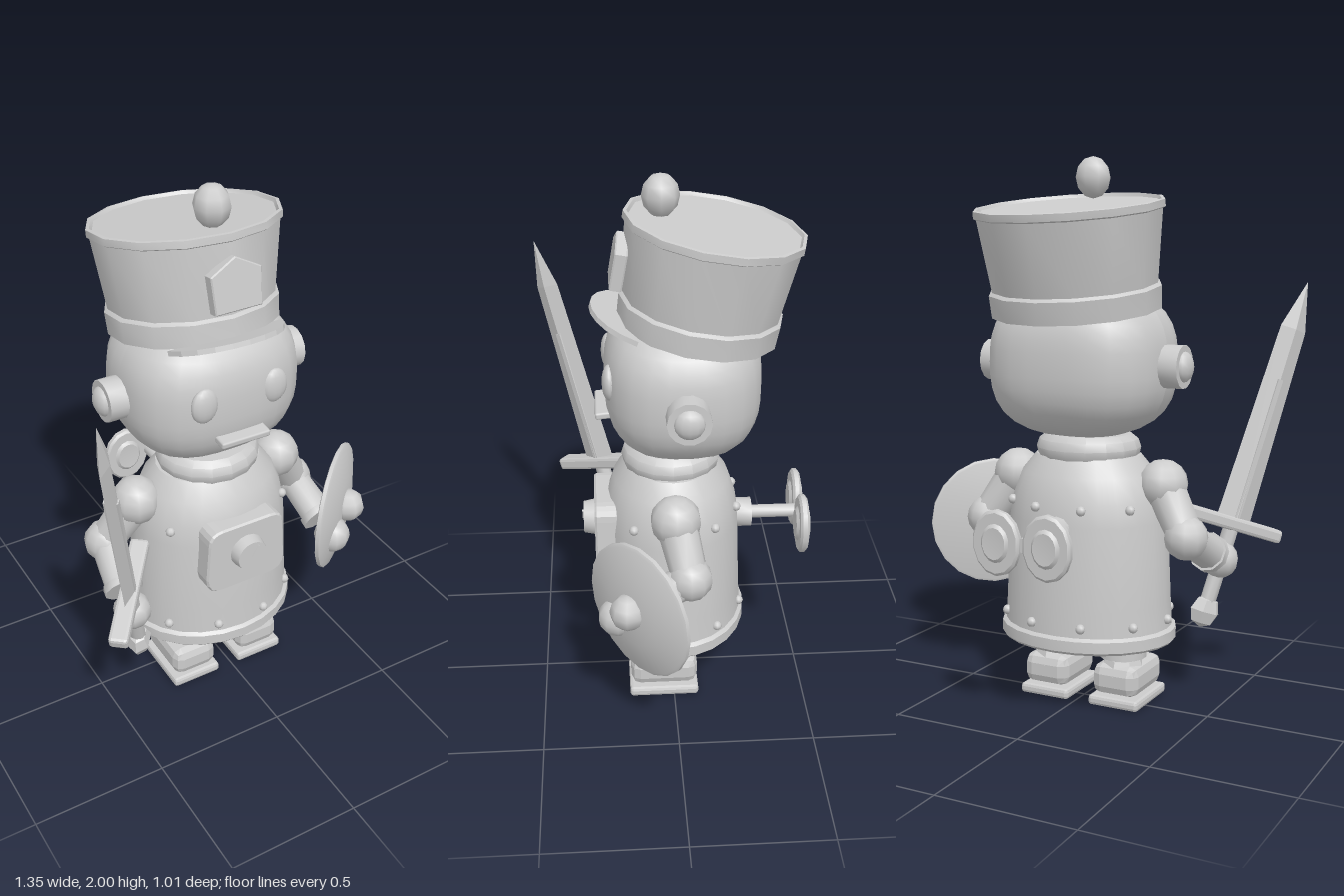
import * as THREE from 'three';
import { toCreasedNormals } from 'three/addons/utils/BufferGeometryUtils.js';
import { RoundedBoxGeometry } from 'three/addons/geometries/RoundedBoxGeometry.js';

const grey = new THREE.MeshStandardMaterial({ color: 0xcccccc });
const flat = new THREE.MeshStandardMaterial({ color: 0xcccccc, flatShading: true });
const V = (x, y, z) => new THREE.Vector3(x, y, z);

function add(parent, name, geo, pos = [0, 0, 0], mat = grey) {
  const m = new THREE.Mesh(geo, mat);
  m.name = name;
  m.position.set(...pos);
  parent.add(m);
  return m;
}
const lathe = (pts, seg) =>
  toCreasedNormals(new THREE.LatheGeometry(pts.map(p => new THREE.Vector2(...p)), seg), 0.6);
const cyl = (r1, r2, h, seg = 12) => toCreasedNormals(new THREE.CylinderGeometry(r1, r2, h, seg), 0.9);
const ball = (r, w = 10, h = 8) => new THREE.SphereGeometry(r, w, h);

// Tapered limb between two points
function limb(parent, name, a, b, ra, rb) {
  const m = add(parent, name, cyl(rb, ra, a.distanceTo(b), 10));
  m.position.copy(a).add(b).multiplyScalar(0.5);
  m.quaternion.setFromUnitVectors(V(0, 1, 0), b.clone().sub(a).normalize());
  return m;
}

function buildTorso(g) {
  const body = lathe([[0, 0.245], [0.325, 0.245], [0.335, 0.255], [0.335, 0.295], [0.32, 0.305], [0.315, 0.4],
    [0.302, 0.7], [0.288, 0.78], [0.255, 0.865], [0.2, 0.93], [0, 0.94]], 24);
  add(g, 'torso', body).scale.z = 0.84;
  add(g, 'collar', lathe([[0, 0.9], [0.17, 0.9], [0.188, 0.925], [0.195, 0.955], [0.185, 0.985], [0.16, 1.005], [0, 1.005]], 16))
    .scale.z = 0.94;
  // Two rows of rivets
  for (let i = 0; i < 10; i++) {
    const a = (18 + i * 36) * Math.PI / 180;
    add(g, 'rivet', ball(0.018, 8, 6), [Math.sin(a) * 0.32, 0.34, Math.cos(a) * 0.27]);
    add(g, 'rivet', ball(0.018, 8, 6), [Math.sin(a) * 0.295, 0.76, Math.cos(a) * 0.25]);
  }
  // Chest panel with dial
  const s = new THREE.Shape();
  s.moveTo(-0.1, -0.13).lineTo(0.1, -0.13).quadraticCurveTo(0.16, -0.13, 0.16, -0.07)
    .lineTo(0.15, 0.08).quadraticCurveTo(0.15, 0.13, 0.1, 0.13).lineTo(-0.1, 0.13)
    .quadraticCurveTo(-0.15, 0.13, -0.15, 0.08).lineTo(-0.16, -0.07).quadraticCurveTo(-0.16, -0.13, -0.1, -0.13);
  const panel = new THREE.ExtrudeGeometry(s, { depth: 0.08, bevelSize: 0.006, bevelThickness: 0.008, bevelSegments: 1, curveSegments: 4 });
  add(g, 'chestPanel', panel, [0, 0.665, 0.2]);
  add(g, 'dial', cyl(0.06, 0.07, 0.05, 16), [0, 0.68, 0.305]).rotation.x = Math.PI / 2;
  add(g, 'dialNeedle', new THREE.BoxGeometry(0.008, 0.05, 0.01), [0.012, 0.7, 0.33]).rotation.z = -0.5;
}

function buildKey(g) {
  const turn = (name, geo, pos) => { const m = add(g, name, geo, pos); m.rotation.x = Math.PI / 2; return m; };
  turn('keyCollar', cyl(0.055, 0.055, 0.06), [0, 0.68, -0.275]);
  turn('keyShaft', cyl(0.025, 0.025, 0.23), [0, 0.68, -0.375]);
  const disc = lathe([[0, -0.022], [0.045, -0.026], [0.055, -0.016], [0.085, -0.016], [0.093, -0.008], [0.093, 0.008],
    [0.085, 0.016], [0.055, 0.016], [0.045, 0.026], [0, 0.022]], 14);
  for (const x of [-0.098, 0.098]) turn('keyWing', disc, [x, 0.68, -0.488]).scale.z = 1.24;
}

function buildHead(g) {
  // Sphere pushed out towards a rounded box
  const geo = new THREE.SphereGeometry(1, 28, 20), p = geo.attributes.position;
  for (let i = 0; i < p.count; i++) {
    const v = V().fromBufferAttribute(p, i);
    const n = (Math.abs(v.x) ** 2.7 + Math.abs(v.y) ** 2.7 + Math.abs(v.z) ** 2.7) ** (1 / 2.7);
    p.setXYZ(i, v.x / n * 0.33, v.y / n * 0.27, v.z / n * 0.28);
  }
  geo.computeVertexNormals();
  add(g, 'head', geo, [0, 1.27, -0.04]);
  for (const s of [-1, 1]) {
    add(g, 'eye', ball(1, 14, 10), [s * 0.138, 1.305, 0.222]).scale.set(0.052, 0.066, 0.026);
    add(g, 'ear', cyl(0.077, 0.077, 0.09, 14), [s * 0.35, 1.263, -0.04]).rotation.z = Math.PI / 2;
    add(g, 'earKnob', ball(1, 12, 8), [s * 0.39, 1.263, -0.04]).scale.set(0.034, 0.055, 0.055);
  }
  add(g, 'mouth', new RoundedBoxGeometry(0.195, 0.026, 0.07, 1, 0.008), [0, 1.155, 0.24]).rotation.set(0.1, 0, -0.02);
}

function buildHat(g) {
  const shell = lathe([[0, 0.02], [0.27, 0], [0.288, 0], [0.292, 0.08], [0.28, 0.09], [0.31, 0.345], [0.319, 0.35],
    [0.319, 0.375], [0.307, 0.377], [0.3, 0.365], [0, 0.365]], 14);
  const hat = add(g, 'hat', shell, [0, 1.455, -0.095]);
  hat.rotation.x = -0.16;
  hat.scale.x = 1.08;
  add(g, 'pompon', ball(1, 8, 6), [0, 1.925, 0.033]).scale.set(0.066, 0.075, 0.066);
  const v = new THREE.Shape();
  v.moveTo(-0.22, 0).bezierCurveTo(-0.19, 0.227, 0.19, 0.227, 0.22, 0).closePath();
  add(g, 'visor', new THREE.ExtrudeGeometry(v, { depth: 0.018, bevelEnabled: false, curveSegments: 10 }), [0, 1.49, 0.12])
    .rotation.x = Math.PI / 2 - 0.36;
  const b = new THREE.Shape();
  b.moveTo(-0.085, -0.085).lineTo(0.085, -0.085).lineTo(0.092, 0.04).lineTo(0, 0.09).lineTo(-0.092, 0.04).closePath();
  add(g, 'hatBadge', new THREE.ExtrudeGeometry(b, { depth: 0.035, bevelSize: 0.004, bevelThickness: 0.005, bevelSegments: 1 }),
    [0, 1.705, 0.16]).rotation.x = -0.18;
}

function buildLegs(g) {
  for (const s of [-1, 1]) {
    const leg = new THREE.Group();
    leg.name = s < 0 ? 'rightLeg' : 'leftLeg';
    leg.position.x = s * 0.143;
    g.add(leg);
    add(leg, 'hip', cyl(0.09, 0.09, 0.07, 14), [0, 0.215, 0]);
    add(leg, 'ankle', cyl(0.062, 0.062, 0.1, 12), [0, 0.15, 0]);
    add(leg, 'shoe', new RoundedBoxGeometry(0.18, 0.115, 0.255, 1, 0.035), [0, 0.1, 0.038], flat);
    add(leg, 'shoeTop', cyl(0.07, 0.09, 0.05, 8), [0, 0.145, 0], flat);
    add(leg, 'sole', new RoundedBoxGeometry(0.2, 0.038, 0.265, 1, 0.012), [0, 0.019, 0.039], flat);
  }
}

function buildArms(g) {
  for (const s of [-1, 1]) {
    const arm = new THREE.Group();
    arm.name = s < 0 ? 'rightArm' : 'leftArm';
    g.add(arm);
    const shoulder = V(s * 0.3, 0.835, 0), elbow = V(s * 0.41, 0.66, -0.045), hand = V(s * 0.437, 0.53, 0.215);
    add(arm, 'shoulder', ball(0.092), shoulder.toArray());
    limb(arm, 'upperArm', shoulder, elbow, 0.075, 0.065);
    add(arm, 'elbow', ball(0.08), elbow.toArray());
    const wrist = elbow.clone().lerp(hand, 0.72);
    limb(arm, 'forearm', elbow, wrist, 0.06, 0.066);
    limb(arm, 'cuff', elbow.clone().lerp(hand, 0.62), wrist, 0.074, 0.074);
    add(arm, 'hand', ball(0.07), hand.toArray());
  }
}

function buildSword(g) {
  const sword = new THREE.Group();
  sword.name = 'sword';
  sword.position.set(-0.437, 0.525, 0.225);
  sword.rotation.set(0, -2.255, -0.332, 'YXZ');
  g.add(sword);
  add(sword, 'blade', new THREE.LatheGeometry([[0.074, 0.14], [0.056, 0.9], [0, 1.085]].map(p => new THREE.Vector2(...p)), 4),
    [0, 0, 0], flat).scale.z = 0.36;
  add(sword, 'bladeRidge', new THREE.BoxGeometry(0.02, 0.55, 0.05), [0, 0.43, 0]);
  add(sword, 'crossguard', new RoundedBoxGeometry(0.42, 0.05, 0.07, 1, 0.012), [0, 0.143, 0], flat);
  add(sword, 'grip', cyl(0.03, 0.03, 0.34, 8), [0, -0.02, 0]);
  add(sword, 'pommel', new THREE.SphereGeometry(0.062, 6, 4), [0, -0.2, 0], flat).scale.z = 0.75;
}

function buildShield(g) {
  const shield = new THREE.Group();
  shield.name = 'shield';
  shield.position.set(0.498, 0.6, 0.14);
  shield.rotation.y = Math.atan2(0.64, 0.77);
  g.add(shield);
  // Shallow dish facing outward, with a central boss
  const dish = lathe([[0, 0.02], [0.24, -0.012], [0.25, -0.008], [0.25, 0.006], [0.24, 0.012], [0.12, 0.04], [0, 0.05]], 20);
  add(shield, 'shieldDish', dish).rotation.x = Math.PI / 2;
  add(shield, 'shieldBoss', ball(0.065, 8, 6), [0, 0.015, 0.052]);
}

export function createModel() {
  const model = new THREE.Group();
  model.name = 'toySoldierRobot';
  const g = new THREE.Group();
  g.name = 'figure';
  g.position.x = -0.018;
  model.add(g);
  for (const build of [buildTorso, buildKey, buildHead, buildHat, buildLegs, buildArms, buildSword, buildShield]) build(g);
  return model;
}
